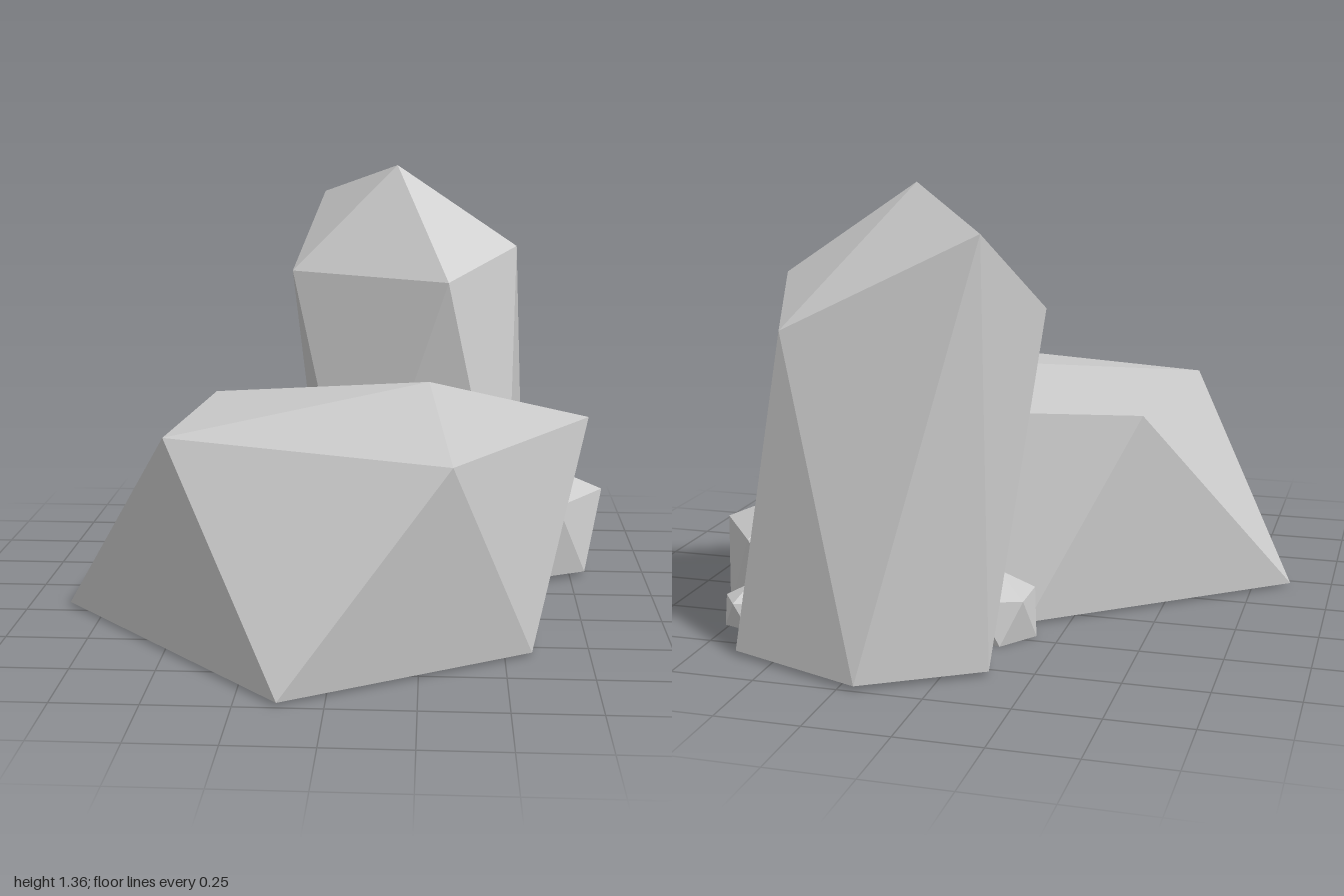
import * as THREE from 'three';

// Faceted rock: an apex, a five-sided upper ring and a staggered five-sided base ring.
// Rings run counter-clockwise seen from above; base[i] sits between upper[i] and upper[i + 1].
function makeRock(name, apex, upper, base, material) {
  const centre = [0, 1, 2].map(k => base.reduce((sum, p) => sum + p[k], 0) / base.length);
  const positions = [];
  const triangle = (a, b, c) => positions.push(...a, ...b, ...c);
  for (let i = 0; i < 5; i++) {
    const j = (i + 1) % 5;
    triangle(apex, upper[i], upper[j]);
    triangle(upper[i], base[i], upper[j]);
    triangle(upper[j], base[i], base[j]);
    triangle(centre, base[j], base[i]);
  }
  const geometry = new THREE.BufferGeometry();
  geometry.setAttribute('position', new THREE.Float32BufferAttribute(positions, 3));
  geometry.computeVertexNormals();
  const mesh = new THREE.Mesh(geometry, material);
  mesh.name = name;
  return mesh;
}

// Regular five-sided ring for the little stones
function ring(x, y, z, radius, turn) {
  return Array.from({ length: 5 }, (_, i) => {
    const a = turn + (i * Math.PI * 2) / 5;
    return [x + radius * Math.cos(a), y, z - radius * Math.sin(a)];
  });
}

function makePebble(name, x, z, radius, bottom, shoulder, top, material) {
  return makeRock(name, [x, top, z],
    ring(x, shoulder, z, radius, 0),
    ring(x, bottom, z, radius, Math.PI / 5), material);
}

export function createModel() {
  const group = new THREE.Group();
  group.name = 'rockCluster';
  const stone = new THREE.MeshStandardMaterial({ color: 0xcccccc, flatShading: true });
  const flat = (y, points) => points.map(([x, z]) => [x, y, z]);

  // Wide boulder at the front
  group.add(makeRock('wideBoulder', [0.27, 0.72, 0.09],
    [[-0.5, 0.635, 0.55], [0.34, 0.625, 0.82], [0.76, 0.637, 0.2], [0.31, 0.62, -0.25], [-0.44, 0.63, -0.17]],
    flat(0.01, [[-0.13, 0.99], [0.58, 0.57], [0.62, -0.08], [-0.13, -0.38], [-0.87, 0.2]]), stone));

  // Tall standing rock at the back
  group.add(makeRock('tallRock', [0.15, 1.36, -0.55],
    [[-0.21, 1.0, -0.47], [0.33, 0.985, -0.28], [0.565, 1.085, -0.52], [0.45, 0.97, -0.86], [-0.12, 1.25, -0.83]],
    flat(0.015, [[0.01, -0.37], [0.54, -0.28], [0.625, -0.84], [0.2, -1.0], [-0.13, -0.8]]), stone));

  // Medium rock at the side
  group.add(makeRock('mediumRock', [0.55, 0.4, -0.34],
    flat(0.265, [[0.45, -0.21], [0.7, -0.11], [0.865, -0.355], [0.7, -0.575], [0.45, -0.48]]),
    flat(0.015, [[0.54, -0.07], [0.8, -0.2], [0.8, -0.5], [0.54, -0.58], [0.38, -0.34]]), stone));

  // Small stones tucked around the tall rock
  group.add(makePebble('sidePebble', 0.675, -0.618, 0.08, 0.02, 0.1, 0.143, stone));
  group.add(makePebble('gapPebble', -0.06, -0.46, 0.12, 0, 0.13, 0.2, stone));

  return group;
}
